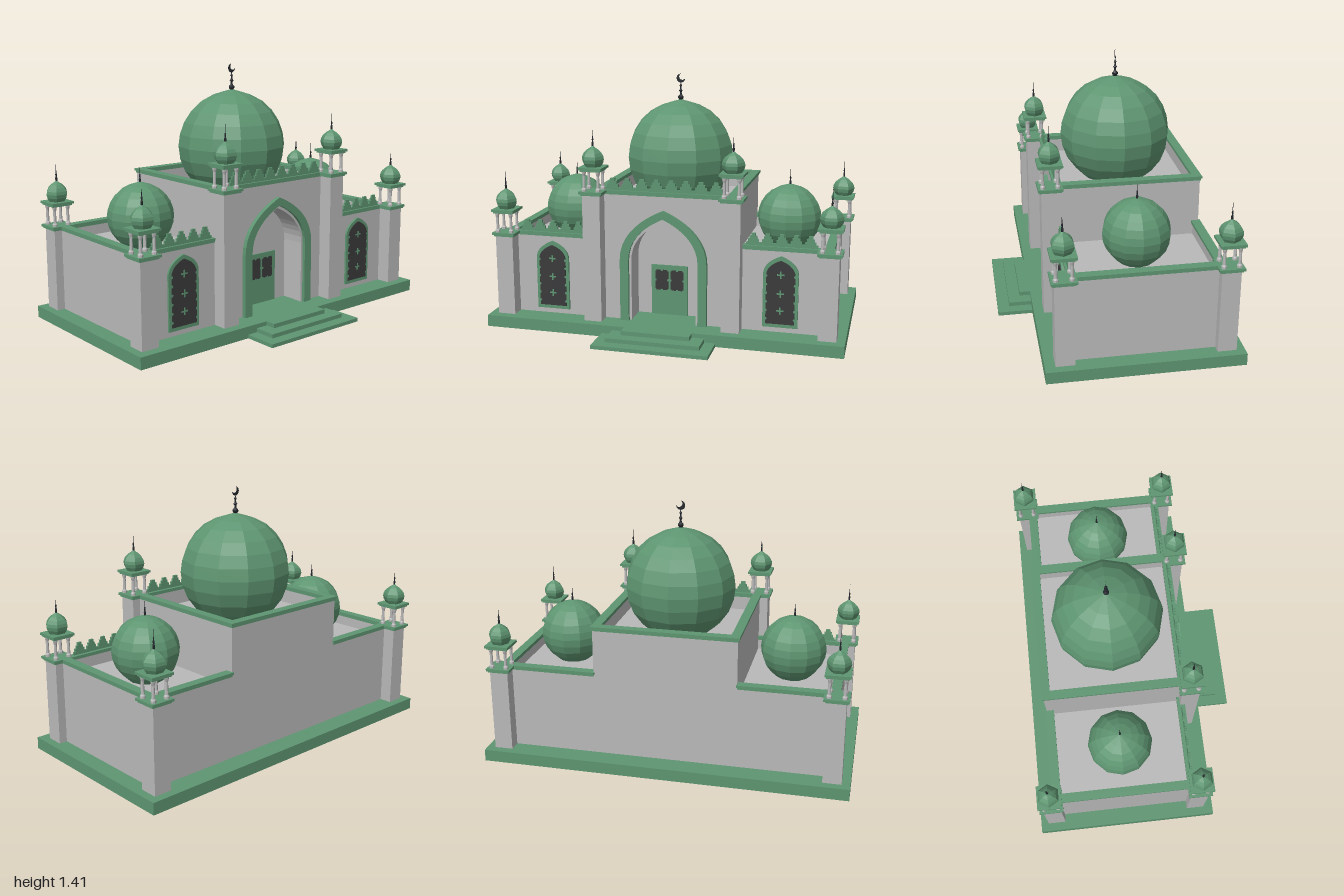
import * as THREE from 'three';

export function createModel() {
  const mat = (name, color, side = THREE.FrontSide) => {
    const m = new THREE.MeshStandardMaterial({ color, flatShading: true, side });
    m.name = name;
    return m;
  };
  const green = mat('green', 0x5e9571);
  const stone = mat('pale stone', 0xb9b9b9);
  const dark = mat('dark glass', 0x3a3a3c);
  const metal = mat('dark metal', 0x23272c, THREE.DoubleSide);

  const model = new THREE.Group();
  model.name = 'domedBuilding';
  const add = (name, geo, m, x = 0, y = 0, z = 0, parent = model) => {
    const mesh = new THREE.Mesh(geo, m);
    mesh.name = name;
    mesh.position.set(x, y, z);
    parent.add(mesh);
    return mesh;
  };
  // Box given by its limits on each axis
  const box = (name, m, x0, x1, y0, y1, z0, z1, parent = model) =>
    add(name, new THREE.BoxGeometry(x1 - x0, y1 - y0, z1 - z0), m,
      (x0 + x1) / 2, (y0 + y1) / 2, (z0 + z1) / 2, parent);
  const plate = (name, shape, depth, m, x, y, z, parent = model) =>
    add(name, new THREE.ExtrudeGeometry(shape, { depth, bevelEnabled: false, curveSegments: 10 }), m, x, y, z, parent);
  const lathe = (pts, sides) => new THREE.LatheGeometry(pts.map(p => new THREE.Vector2(...p)), sides);

  // Pointed arch, traced from lower right to lower left
  const traceArch = (s, w, y0, spring, apex) => {
    const h = apex - spring;
    s.lineTo(w, y0);
    s.lineTo(w, spring);
    s.bezierCurveTo(w, spring + h * 0.55, w * 0.42, apex - h * 0.15, 0, apex);
    s.bezierCurveTo(-w * 0.42, apex - h * 0.15, -w, spring + h * 0.55, -w, spring);
    s.lineTo(-w, y0);
  };
  const archShape = (...a) => {
    const s = new THREE.Shape();
    s.moveTo(-a[0], a[1]);
    traceArch(s, ...a);
    return s;
  };
  // Arch band open at the foot
  const archBand = (wo, ao, wi, ai, y0, spring) => {
    const s = new THREE.Shape();
    s.moveTo(wi, y0);
    traceArch(s, wo, y0, spring, ao);
    s.lineTo(-wi, y0);
    s.lineTo(-wi, spring);
    const h = ai - spring;
    s.bezierCurveTo(-wi, spring + h * 0.55, -wi * 0.42, ai - h * 0.15, 0, ai);
    s.bezierCurveTo(wi * 0.42, ai - h * 0.15, wi, spring + h * 0.55, wi, spring);
    s.lineTo(wi, y0);
    return s;
  };

  // Plinth and front steps
  const F = 0.065;
  box('plinth', green, -1, 1, 0, F, -0.61, 0.42);
  [[0.32, 0.02, 0.61], [0.26, 0.042, 0.545], [0.19, F, 0.48]].forEach(([w, h, z]) =>
    box('step', green, -w, w, 0, h, 0.4, z));

  // Two-layer cornice strip; the lower layer is inset
  const cornice = (x0, x1, z0, z1, top) => {
    box('cornice', green, x0, x1, top - 0.013, top, z0, z1);
    box('corniceMoulding', green, x0 + 0.005, x1 - 0.005, top - 0.024, top - 0.013, z0 + 0.005, z1 - 0.005);
  };

  // Central hall with niche cut into its front
  const front = 0.285;
  box('hall', stone, -0.39, 0.39, F, 0.7, -0.495, 0.15);
  [[0.15, 0.255, 0.7], [0.255, front, 0.78]].forEach(([z0, z1, top]) => {
    const s = new THREE.Shape();
    s.moveTo(0.39, F);
    s.lineTo(0.39, top);
    s.lineTo(-0.39, top);
    s.lineTo(-0.39, F);
    s.lineTo(-0.185, F);
    const a = 0.64, sp = 0.41, h = a - sp, w = 0.185;
    s.lineTo(-w, sp);
    s.bezierCurveTo(-w, sp + h * 0.55, -w * 0.42, a - h * 0.15, 0, a);
    s.bezierCurveTo(w * 0.42, a - h * 0.15, w, sp + h * 0.55, w, sp);
    s.lineTo(w, F);
    plate('nicheWall', s, z1 - z0, stone, 0, 0, z0);
  });
  box('hallParapetBack', stone, -0.39, 0.39, 0.69, 0.78, -0.495, -0.465);
  cornice(-0.4, 0.4, -0.505, -0.455, 0.8);
  cornice(-0.4, 0.4, 0.25, 0.295, 0.8);
  for (const s of [-1, 1]) {
    box('hallParapetSide', stone, s * 0.375 - 0.015, s * 0.375 + 0.015, 0.69, 0.78, -0.495, front);
    cornice(s * 0.375 - 0.025, s * 0.375 + 0.025, -0.505, 0.295, 0.8);
  }
  plate('portalFrame', archBand(0.245, 0.7, 0.196, 0.655, F, 0.41), 0.03, green, 0, 0, front - 0.005);
  plate('portalLip', archBand(0.198, 0.657, 0.183, 0.638, F, 0.41), 0.012, stone, 0, 0, front - 0.005);

  // Lattice pane with notched edges
  const pane = (w, h, rows) => {
    const g = new THREE.Group();
    box('glass', dark, -w, w, 0, h, 0, 0.004, g);
    const n = new THREE.CircleGeometry(0.007, 8);
    for (let i = 0; i <= rows; i++)
      for (const x of [-w, 0, w])
        if (x || i === 0 || i === rows) add('latticeNotch', n, green, x, i * h / rows, 0.005, g);
    return g;
  };

  // Door in the niche
  box('door', green, -0.105, 0.105, F, 0.355, 0.14, 0.158);
  for (const s of [-1, 1]) {
    const p = pane(0.037, 0.118, 2);
    p.name = 'doorPane';
    p.position.set(s * 0.044, 0.21, 0.158);
    model.add(p);
  }

  // Stepped merlons along a parapet
  const merlons = (x0, x1, y, n) => {
    const p = (x1 - x0) / n, h = 0.066, s = new THREE.Shape();
    s.moveTo(x0, 0);
    for (let i = 0; i < n; i++) {
      const x = x0 + i * p, k = 4;
      for (let j = 0; j < k; j++) {
        s.lineTo(x + p * 0.46 * j / k, h * (j + 1) / k);
        s.lineTo(x + p * 0.46 * (j + 1) / k, h * (j + 1) / k);
      }
      for (let j = k; j > 0; j--) {
        s.lineTo(x + p * (1 - 0.46 * j / k), h * j / k);
        s.lineTo(x + p * (1 - 0.46 * (j - 1) / k), h * j / k);
      }
      s.lineTo(x + p, h * 0.12);
    }
    s.lineTo(x1, 0);
    plate('merlons', s, 0.012, green, 0, y, 0.27);
  };
  merlons(-0.33, 0.33, 0.8, 8);

  // Side wings with windows
  for (const s of [-1, 1]) {
    const span = (a, b) => (s > 0 ? [a, b] : [-b, -a]);
    box('wing', stone, ...span(0.38, 0.91), F, 0.46, -0.495, front);
    box('wingParapetFront', stone, ...span(0.38, 0.91), 0.45, 0.52, 0.255, front);
    box('wingParapetBack', stone, ...span(0.38, 0.91), 0.45, 0.52, -0.495, -0.465);
    box('wingParapetSide', stone, ...span(0.88, 0.91), 0.45, 0.52, -0.495, front);
    cornice(...span(0.385, 0.92), 0.25, 0.295, 0.54);
    cornice(...span(0.385, 0.92), -0.505, -0.455, 0.54);
    cornice(...span(0.87, 0.92), -0.505, 0.295, 0.54);
    merlons(...span(0.455, 0.835), 0.54, 5);

    const g = new THREE.Group();
    g.name = 'window';
    g.position.set(s * 0.646, 0, front);
    model.add(g);
    plate('windowFrame', archShape(0.095, 0.095, 0.39, 0.49), 0.012, green, 0, 0, 0, g);
    plate('windowGlass', archShape(0.078, 0.115, 0.385, 0.468), 0.004, dark, 0, 0, 0.012, g);
    for (const y of [0.19, 0.285, 0.39]) {
      box('latticeCross', green, -0.02, 0.02, y - 0.004, y + 0.004, 0.016, 0.018, g);
      box('latticeCross', green, -0.004, 0.004, y - 0.02, y + 0.02, 0.016, 0.018, g);
    }
    for (let i = 0; i < 6; i++)
      for (const x of [-0.078, 0.078])
        add('latticeNotch', new THREE.CircleGeometry(0.008, 8), green, x, 0.143 + i * 0.048, 0.017, g);
  }

  // Domes: bulbous lathe with a slightly pointed crown
  const unitDome = [[0.5, -0.9], [0.72, -0.7], [0.88, -0.48], [0.97, -0.24], [1, 0], [0.97, 0.22],
    [0.89, 0.44], [0.76, 0.64], [0.58, 0.81], [0.36, 0.93], [0.17, 0.99], [0, 1.04]];
  const dome = (name, r, x, y) =>
    add(name, lathe(unitDome.map(([a, b]) => [a * r, b * r]), 12), green, x, y, -0.1);
  const needle = (x, y, z, h, parent = model) =>
    add('finial', lathe([[0.005, 0], [0.006, h * 0.2], [0.003, h * 0.3], [0.005, h * 0.4], [0.002, h * 0.5], [0, h]], 6),
      metal, x, y, z, parent);
  dome('mainDome', 0.307, 0, 0.946);
  for (const s of [-1, 1]) {
    dome('wingDome', 0.18, s * 0.635, 0.62);
    needle(s * 0.635, 0.8, -0.1, 0.1);
  }

  // Main finial with a flat crescent
  add('mainFinial', lathe([[0.008, 0], [0.016, 0.012], [0.016, 0.02], [0.006, 0.032], [0.005, 0.045], [0.011, 0.053],
    [0.005, 0.062], [0.004, 0.075], [0.008, 0.082], [0.003, 0.09], [0, 0.107]], 8), metal, 0, 1.26, -0.1);
  const moon = new THREE.Shape();
  moon.absarc(0, 0, 0.025, 1.35, 0.0 + Math.PI * 2, false);
  moon.absarc(0.009, 0.009, 0.0185, -0.55, 2.1, true);
  add('crescent', new THREE.ShapeGeometry(moon, 16), metal, 0, 1.383, -0.1);

  // Square pillars, each carrying a small open pavilion
  const columnGeo = lathe([[0.014, 0], [0.014, 0.012], [0.009, 0.02], [0.008, 0.085], [0.012, 0.1], [0.014, 0.12]], 8);
  const cupGeo = lathe([[0.03, 0], [0.045, 0.005], [0.058, 0.025], [0.063, 0.045], [0.06, 0.062],
    [0.05, 0.08], [0.032, 0.097], [0.013, 0.109], [0, 0.12]], 6);
  const pillar = (x, z, top) => {
    const g = new THREE.Group();
    g.name = 'pillar';
    g.position.set(x, 0, z);
    model.add(g);
    box('pillarShaft', stone, -0.05, 0.05, F, top - 0.015, -0.05, 0.05, g);
    for (const y of [top, top + 0.132]) {
      box('pillarCap', green, -0.066, 0.066, y - 0.013, y, -0.066, 0.066, g);
      box('pillarCapMoulding', green, -0.058, 0.058, y - 0.022, y - 0.013, -0.058, 0.058, g);
    }
    for (const a of [-1, 1]) for (const b of [-1, 1])
      add('pavilionColumn', columnGeo, stone, a * 0.04, top, b * 0.04, g);
    add('pavilionDome', cupGeo, green, 0, top + 0.128, 0, g).rotation.y = Math.PI / 2;
    needle(0, top + 0.24, 0, 0.1, g);
  };
  for (const s of [-1, 1]) {
    pillar(s * 0.905, 0.316, 0.54);
    pillar(s * 0.905, -0.515, 0.54);
    pillar(s * 0.387, 0.316, 0.8);
  }
  return model;
}
